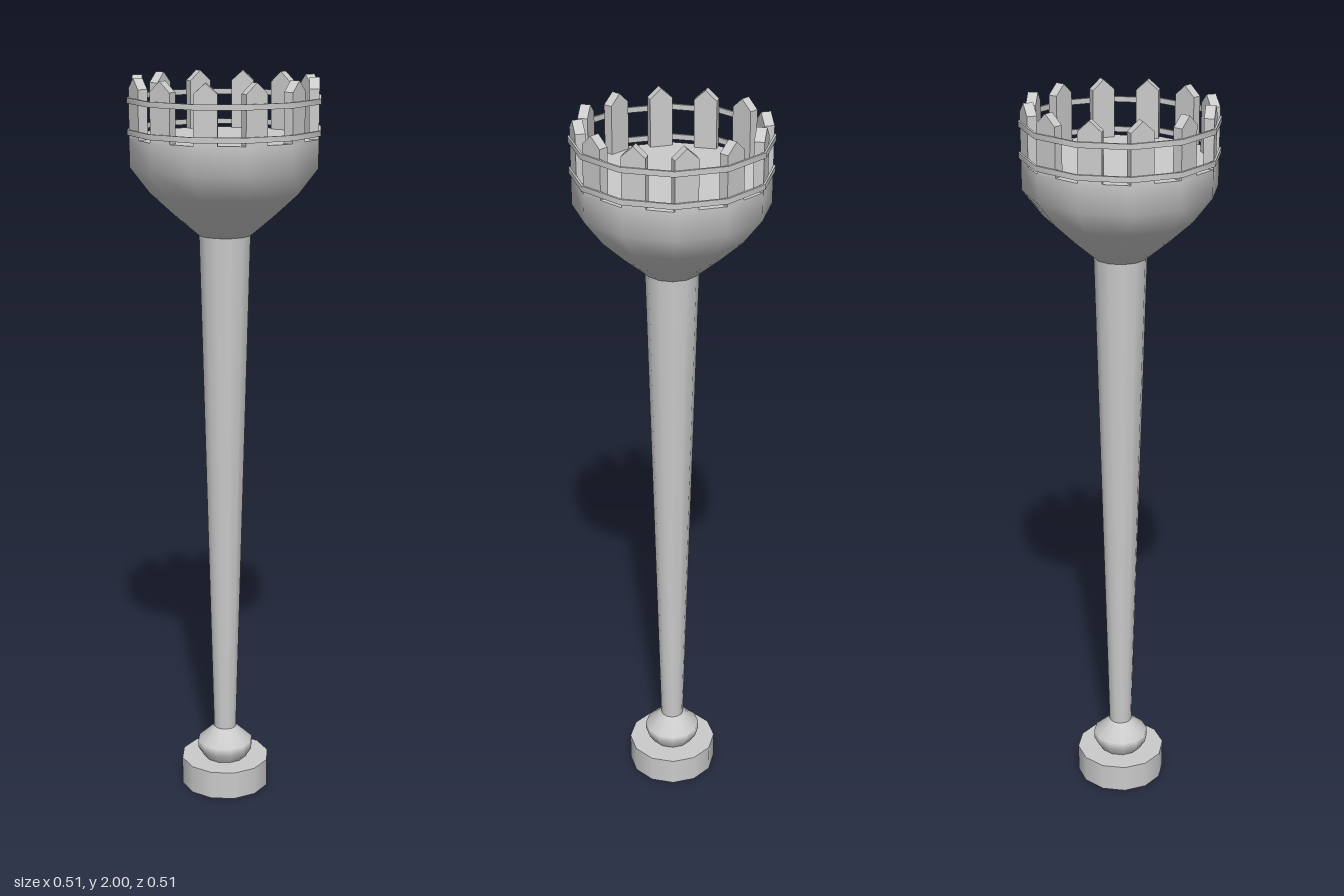
import * as THREE from 'three';
import { toCreasedNormals } from 'three/addons/utils/BufferGeometryUtils.js';

const SIDES = 12;
const material = new THREE.MeshStandardMaterial({ color: 0xcccccc });

export function createModel() {
  const model = new THREE.Group();
  model.name = 'lookoutTower';

  const add = (name, geometry, parent = model) => {
    const mesh = new THREE.Mesh(geometry, material);
    mesh.name = name;
    parent.add(mesh);
    return mesh;
  };
  // Twelve-sided turned part from [radius, height] pairs, bottom to top
  const turned = (points) =>
    new THREE.LatheGeometry(points.map(([r, y]) => new THREE.Vector2(r, y)), SIDES);

  // Foot, knob and tapering column
  const foot = new THREE.CylinderGeometry(0.125, 0.125, 0.08, SIDES);
  add('base', foot).position.y = 0.04;
  add('knob', turned([[0.06, 0.08], [0.078, 0.108], [0.078, 0.13], [0.032, 0.172]]));
  add('column', turned([[0.032, 0.17], [0.07, 1.59]]));

  // Flared bowl closed by the lookout floor
  const floorY = 1.847;
  add('bowl', turned([
    [0.07, 1.59], [0.135, 1.645], [0.2, 1.705], [0.252, 1.773], [0.252, floorY],
  ]));
  const floor = add('floor', new THREE.CircleGeometry(0.252, SIDES));
  floor.rotation.x = -Math.PI / 2;
  floor.position.y = floorY;

  // Pointed picket, repeated from each corner along its edge of the floor
  const width = 0.06, depth = 0.026;
  const outline = new THREE.Shape([
    [0, floorY], [width, floorY], [width, 1.973], [width / 2, 2], [0, 1.973],
  ].map(([x, y]) => new THREE.Vector2(x, y)));
  const picketGeometry = toCreasedNormals(
    new THREE.ExtrudeGeometry(outline, { depth, bevelEnabled: false }), 0.5);
  const halfAngle = Math.PI / SIDES, radius = 0.252;
  picketGeometry.translate(
    -radius * Math.sin(halfAngle), 0, radius * Math.cos(halfAngle) - depth);

  const fence = new THREE.Group();
  fence.name = 'fence';
  model.add(fence);
  for (let i = 0; i < SIDES; i++) {
    add('picket', picketGeometry, fence).rotation.y = (2 * i + 1) * halfAngle;
  }

  // Two thin rails around the pickets
  for (const y of [1.942, 1.862]) {
    const a = y - 0.007, b = y + 0.007;
    const ring = turned([[0.251, a], [0.257, a], [0.257, b], [0.251, b], [0.251, a]]);
    add('rail', toCreasedNormals(ring, 0.7), fence);
  }
  return model;
}
